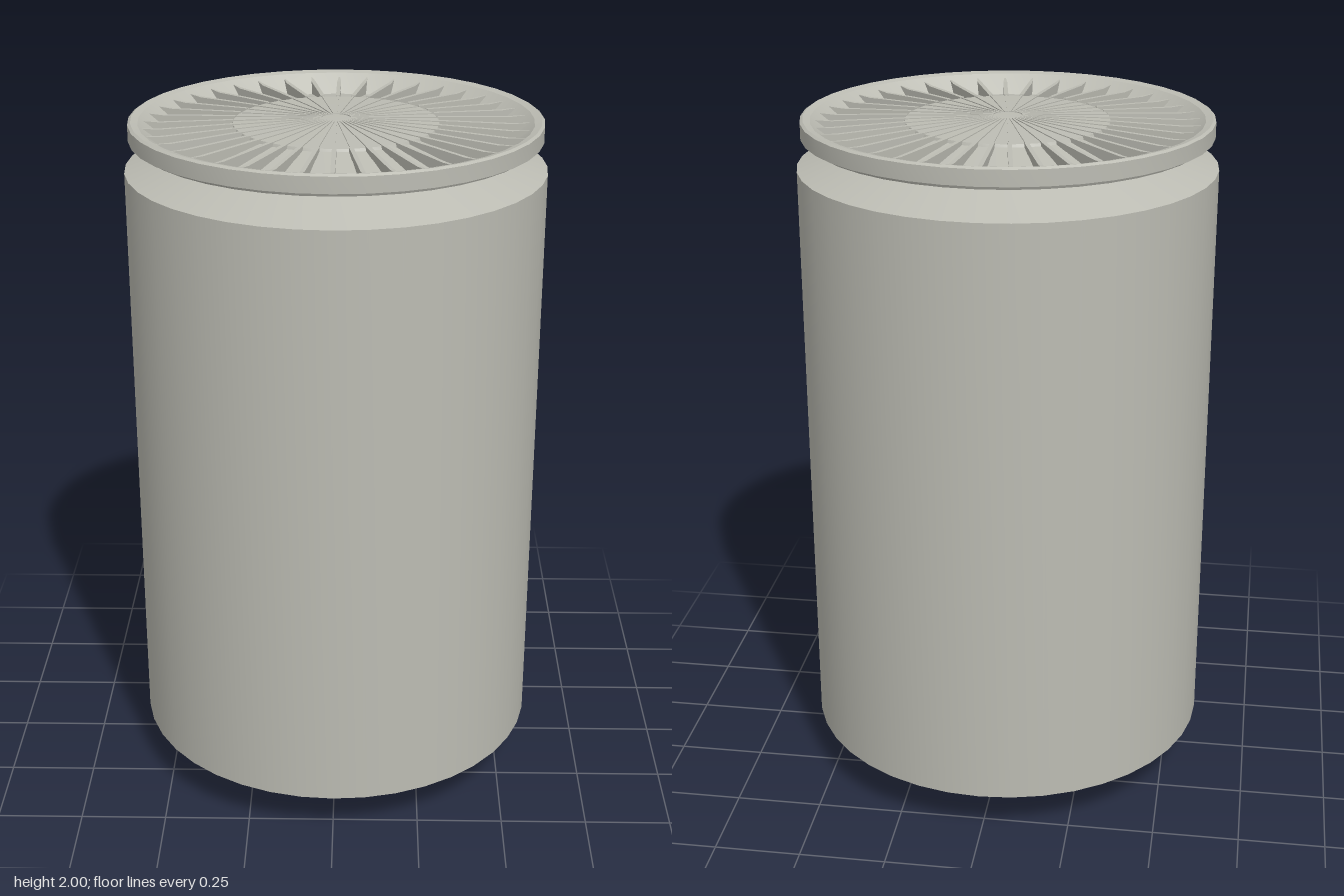
import * as THREE from 'three';
import { toCreasedNormals, mergeGeometries } from 'three/addons/utils/BufferGeometryUtils.js';

const SIDES = 40;

export function createModel() {
  const model = new THREE.Group();
  model.name = 'canister';
  const metal = new THREE.MeshStandardMaterial({ color: 0xbcbcb3, side: THREE.DoubleSide });
  metal.name = 'warm grey metal';

  const add = (name, geometry) => {
    const mesh = new THREE.Mesh(geometry, metal);
    mesh.name = name;
    model.add(mesh);
  };
  // Turned part with crisp edges; profile is [radius, height], outside running upwards
  const turned = (name, profile, start = 0, sweep = Math.PI * 2) => {
    const points = profile.map(([r, y]) => new THREE.Vector2(r, y));
    const sides = Math.round(SIDES * sweep / (Math.PI * 2));
    add(name, toCreasedNormals(new THREE.LatheGeometry(points, sides, start, sweep), 0.3));
  };

  // Hollow body with shoulder
  turned('body', [[0.592, 0.14], [0.592, 1.86], [0.39, 1.935]]);

  // Bottom chamfer, open over a quarter turn at the back
  turned('lowerChamfer', [[0.37, 0.065], [0.592, 0.14]], Math.PI * 1.25, Math.PI * 1.5);

  // Base ring and stepped foot with a recessed underside
  turned('foot', [
    [0, 0.045], [0.075, 0.045], [0.085, 0.025], [0.12, 0.025], [0.13, 0.045],
    [0.25, 0.02], [0.255, 0], [0.285, 0], [0.3, 0.065], [0.37, 0.065],
  ]);

  // Lid rim, sloping inwards to the grille
  turned('lidRim', [
    [0.36, 1.937], [0.555, 1.937], [0.56, 1.947], [0.578, 1.95],
    [0.578, 1.995], [0.57, 2], [0.55, 1.995], [0.485, 1.945],
  ]);

  // Conical grille panel and the hub in the middle
  turned('grillePanel', [[0.49, 1.945], [0.29, 1.978]]);
  turned('hub', [[0.29, 1.978], [0.287, 1.986], [0.04, 1.996], [0, 1.996]]);

  // Radial vanes: upright wedges, tapering to a point on the rim
  const vane = new THREE.Shape([
    [0.285, 1.965], [0.49, 1.938], [0.545, 1.985], [0.49, 1.982], [0.285, 1.99],
  ].map(([x, y]) => new THREE.Vector2(x, y)));
  const vanes = [];
  const ribs = [];
  for (let i = 0; i < SIDES; i++) {
    const angle = i * Math.PI * 2 / SIDES;
    const g = new THREE.ExtrudeGeometry(vane, { depth: 0.012, bevelEnabled: false });
    g.translate(0, 0, -0.006);
    const p = g.attributes.position;
    for (let k = 0; k < p.count; k++) {
      if (p.getX(k) > 0.53) p.setZ(k, p.getZ(k) * 0.2);
    }
    vanes.push(g.rotateY(angle));
    // Fine raised rib carrying the vane on across the hub
    const rib = new THREE.BoxGeometry(0.25, 0.004, 0.006);
    rib.rotateZ(-0.04).translate(0.165, 1.9915, 0).rotateY(angle);
    ribs.push(rib);
  }
  add('vanes', mergeGeometries(vanes));
  add('hubRibs', mergeGeometries(ribs));

  return model;
}
